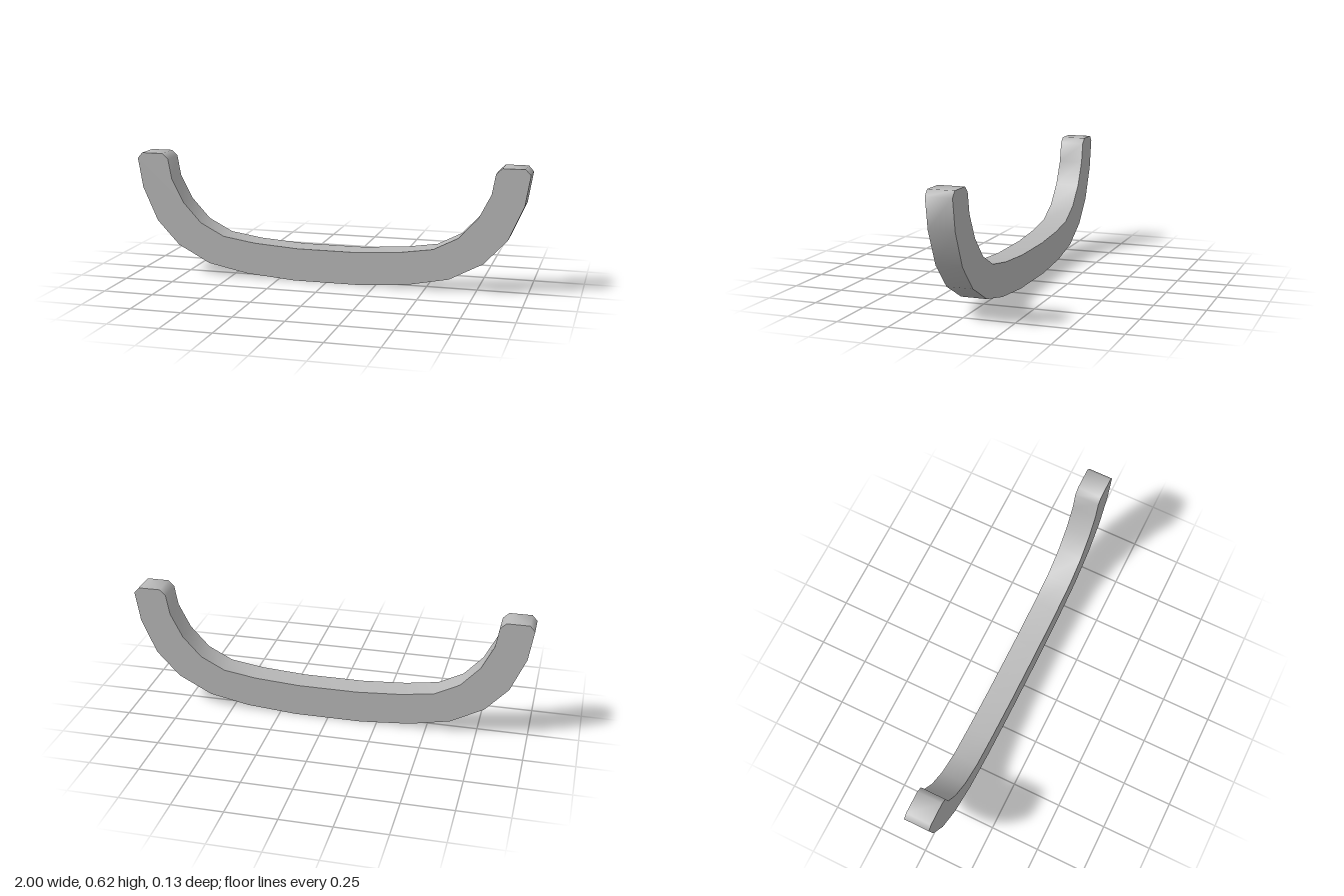
import * as THREE from 'three';
import { toCreasedNormals } from 'three/addons/utils/BufferGeometryUtils.js';

const DEPTH = 0.127;

// Right half of the outline: along the underside, round the tip, back along the inner edge
const HALF = [
  [0.17, 0], [0.42, 0.02], [0.62, 0.06], [0.785, 0.147], [0.9, 0.27], [0.975, 0.44],
  [1, 0.59], [0.975, 0.618], [0.865, 0.618], [0.835, 0.59],
  [0.817, 0.49], [0.756, 0.37], [0.662, 0.268], [0.54, 0.205], [0.375, 0.18], [0.15, 0.165],
];

export function createModel() {
  const grey = new THREE.MeshStandardMaterial({ color: 0xb8b8b8 });
  grey.name = 'grey';

  // Mirror the half outline to close the curved bar
  const mirrored = HALF.map(([x, y]) => [-x, y]).reverse();
  const outline = [...HALF, ...mirrored].map(([x, y]) => new THREE.Vector2(x, y));

  // Flat front and back, softly shaded rim
  const bar = new THREE.ExtrudeGeometry(new THREE.Shape(outline), { depth: DEPTH, bevelEnabled: false });
  bar.translate(0, 0, -DEPTH / 2);
  const handle = new THREE.Mesh(toCreasedNormals(bar, Math.PI / 3), grey);
  handle.name = 'curvedHandle';

  const model = new THREE.Group();
  model.name = 'handle';
  model.add(handle);
  return model;
}
